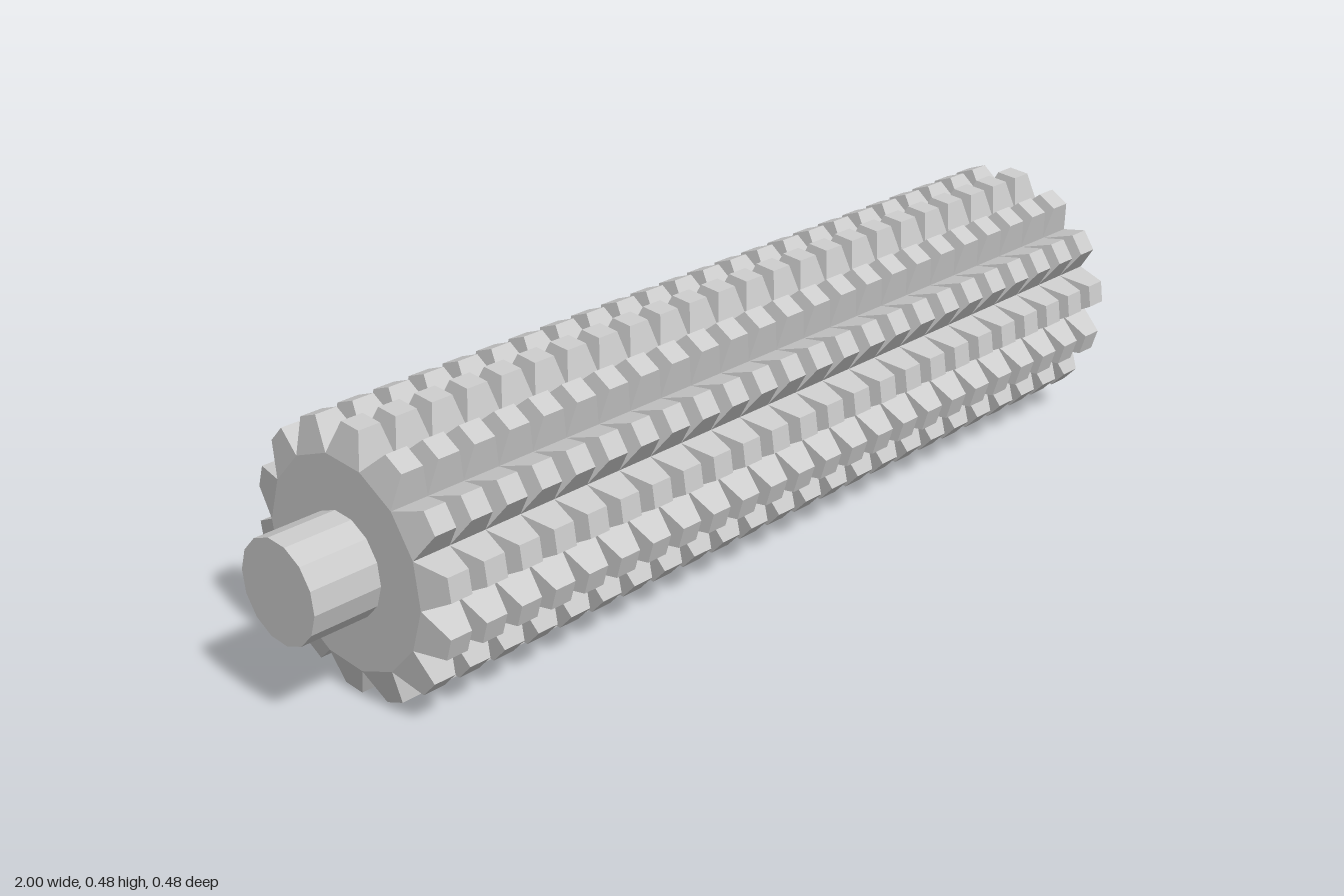
import * as THREE from 'three';
import { mergeGeometries } from 'three/addons/utils/BufferGeometryUtils.js';

const TEETH = 14, RINGS = 24;
const LENGTH = 1.744, PITCH = LENGTH / RINGS;
const ROOT = 0.186, TIP = 0.24;
const HALF = Math.PI / TEETH;

// One tapered tooth: x along the roller, y outward, z around the rim
function toothGeometry() {
  const geo = new THREE.BoxGeometry(1, 1, 1);
  const p = geo.attributes.position;
  for (let i = 0; i < p.count; i++) {
    const tip = p.getY(i) > 0;
    const halfX = tip ? 0.021 : PITCH / 2;
    const halfZ = tip ? 0.021 : ROOT * Math.sin(HALF);
    const y = tip ? TIP : ROOT * Math.cos(HALF);
    p.setXYZ(i, Math.sign(p.getX(i)) * halfX, y, Math.sign(p.getZ(i)) * halfZ);
  }
  geo.computeVertexNormals();
  return geo;
}

export function createModel() {
  const model = new THREE.Group();
  model.name = 'toothedRoller';
  const mat = new THREE.MeshStandardMaterial({ color: 0xcccccc, flatShading: true });

  const roller = new THREE.Group();
  roller.name = 'roller';
  roller.position.y = 0.24;
  roller.rotation.x = THREE.MathUtils.degToRad(4.7);
  model.add(roller);

  // Core and axle stubs share the facets of the tooth count
  const addCylinder = (name, radius, length, x) => {
    const geo = new THREE.CylinderGeometry(radius, radius, length, TEETH).rotateZ(Math.PI / 2);
    const mesh = new THREE.Mesh(geo, mat);
    mesh.name = name;
    mesh.position.x = x;
    roller.add(mesh);
  };
  addCylinder('core', ROOT, LENGTH, 0);
  const stub = 1 - LENGTH / 2;
  addCylinder('leftAxle', 0.091, stub, 1 - stub / 2);
  addCylinder('rightAxle', 0.091, stub, -1 + stub / 2);

  // Rings of teeth along the core
  const tooth = toothGeometry();
  const ring = mergeGeometries(Array.from({ length: TEETH },
    (_, i) => tooth.clone().rotateX(i * 2 * HALF)));
  for (let i = 0; i < RINGS; i++) {
    const mesh = new THREE.Mesh(ring, mat);
    mesh.name = `toothRing${i + 1}`;
    mesh.position.x = (i + 0.5) * PITCH - LENGTH / 2;
    roller.add(mesh);
  }
  return model;
}
